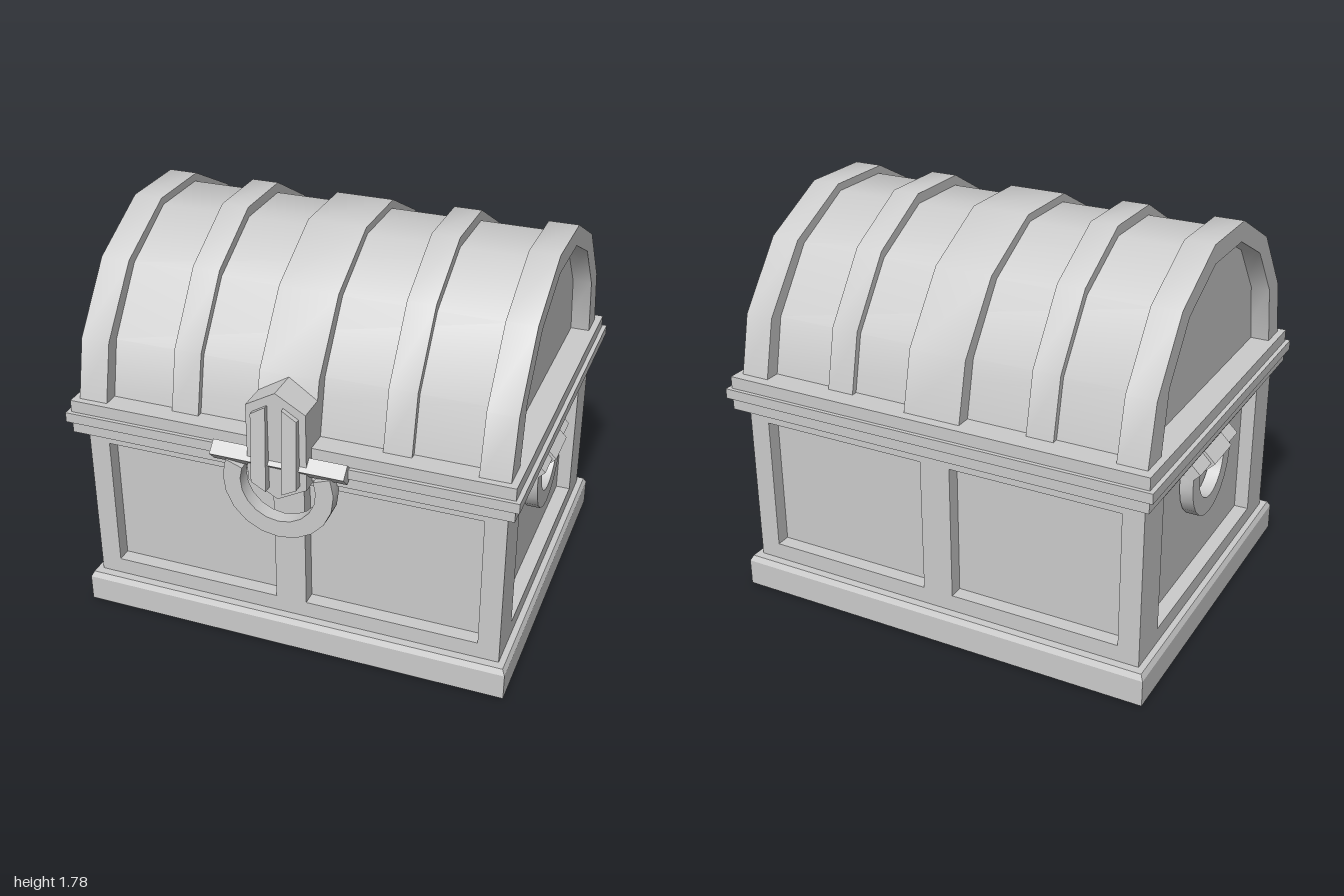
import * as THREE from 'three';
import { toCreasedNormals } from 'three/addons/utils/BufferGeometryUtils.js';

const material = new THREE.MeshStandardMaterial({ color: 0xcccccc });
const ZC = -0.04; // depth centre of the box
const LID_Y = 1.055;

function add(parent, name, geometry, x = 0, y = 0, z = 0) {
  const mesh = new THREE.Mesh(geometry, material);
  mesh.name = name;
  mesh.position.set(x, y, z);
  parent.add(mesh);
  return mesh;
}

const toShape = (pts) => new THREE.Shape(pts.map(([x, y]) => new THREE.Vector2(x, y)));

const rect = (x0, x1, y0, y1) => [[x0, y0], [x1, y0], [x1, y1], [x0, y1]];

// Extrudes an outline (with holes) along z, centred on z = 0
function slab(outline, depth, holes = []) {
  const shape = toShape(outline);
  shape.holes = holes.map(toShape);
  const g = new THREE.ExtrudeGeometry(shape, { depth, bevelEnabled: false });
  return g.translate(0, 0, -depth / 2);
}

// Moves every vertex with a rule
function reshape(geometry, rule) {
  const p = geometry.attributes.position;
  const v = new THREE.Vector3();
  for (let i = 0; i < p.count; i++) {
    rule(v.fromBufferAttribute(p, i));
    p.setXYZ(i, v.x, v.y, v.z);
  }
  geometry.computeVertexNormals();
  return geometry;
}

// Full symmetric arch outline from its right half, scaled from the lid foot
function arch(half, sz = 1, sy = 1) {
  const right = half.map(([z, y]) => [z * sz, LID_Y + (y - LID_Y) * sy]);
  const left = right.map(([z, y]) => [-z, y]).reverse();
  return [...right, ...left];
}

const acrossX = (g) => toCreasedNormals(g.rotateY(Math.PI / 2), 0.6);

// Flat hanging ring, open at the top
function ringOutline(outer, inner, rise) {
  const n = 12, pts = [];
  const arc = (r, i) => {
    const a = rise - (Math.PI + 2 * rise) * (i / n);
    return [Math.cos(a) * r, Math.sin(a) * r];
  };
  for (let i = 0; i <= n; i++) pts.push(arc(outer, i));
  for (let i = n; i >= 0; i--) pts.push(arc(inner, i));
  return pts;
}

// Diamond-section bar along x
const diamondBar = (r, length) =>
  new THREE.CylinderGeometry(r, r, length, 4).toNonIndexed().rotateZ(Math.PI / 2);

function flatBar(r, length) {
  const g = diamondBar(r, length);
  g.computeVertexNormals();
  return g;
}

function buildBase(parent) {
  const base = new THREE.Group();
  base.name = 'base';
  parent.add(base);
  const skirt = slab(rect(-0.98, 0.98, -0.8, 0.8), 0.12, [rect(-0.97, 0.97, -0.79, 0.79)]);
  add(base, 'baseSkirt', skirt.rotateX(-Math.PI / 2), 0, 0.06, ZC);
  const cap = reshape(new THREE.BoxGeometry(1.96, 0.025, 1.6), (v) => {
    if (v.y > 0) { v.x *= 0.987; v.z *= 0.984; }
  });
  add(base, 'baseChamfer', cap, 0, 0.1325, ZC);
}

function buildBody(parent) {
  const body = new THREE.Group();
  body.name = 'body';
  parent.add(body);
  const d = 0.065;
  add(body, 'bodyCore', new THREE.BoxGeometry(1.88 - 2 * d, 0.77, 1.5 - 2 * d), 0, 0.525, ZC);
  // Raised frames around the sunken panels
  for (const s of [-1, 1]) {
    const long = slab(rect(-0.94, 0.94, 0.14, 0.91), d,
      [rect(-0.845, -0.07, 0.22, 0.835), rect(0.07, 0.845, 0.22, 0.835)]);
    add(body, s > 0 ? 'frontFrame' : 'backFrame', long, 0, 0, ZC + s * (0.75 - d / 2));
    const short = slab(rect(-0.75 + d, 0.75 - d, 0.14, 0.91), d, [rect(-0.557, 0.557, 0.215, 0.835)]);
    add(body, s > 0 ? 'leftFrame' : 'rightFrame', short.rotateY(Math.PI / 2), s * (0.94 - d / 2), 0, ZC);
  }
  // Stepped rim between box and lid
  add(body, 'rim', new THREE.BoxGeometry(1.96, 0.155, 1.62), 0, 0.9775, ZC);
  add(body, 'rimLip', new THREE.BoxGeometry(2, 0.045, 1.655), 0, 0.9775, ZC);
}

function buildLid(parent) {
  const lid = new THREE.Group();
  lid.name = 'lid';
  lid.position.z = -0.032;
  parent.add(lid);
  const outer = [[0.772, LID_Y], [0.71, 1.315], [0.49, 1.6], [0.17, 1.765]];
  const inner = [[0.64, LID_Y], [0.59, 1.32], [0.41, 1.55], [0.15, 1.68]];
  add(lid, 'lidShell', acrossX(slab(arch(outer, 0.91, 0.952), 1.66)));
  add(lid, 'lidEndPanels', acrossX(slab(arch(inner, 1.01, 1.01), 1.73)));
  add(lid, 'centreBand', acrossX(slab(arch(outer), 0.26)));
  for (const s of [-1, 1]) {
    add(lid, 'middleBand', acrossX(slab(arch(outer, 0.945, 1.015), 0.122)), s * 0.471);
    // End band is an open arch around the recessed end panel
    const hoop = [...arch(outer), ...arch(inner).reverse()];
    add(lid, 'endBand', acrossX(slab(hoop, 0.13)), s * 0.885);
  }
}

function buildLock(parent) {
  const lock = new THREE.Group();
  lock.name = 'lock';
  parent.add(lock);
  const hex = [[0, 0.815], [0.13, 0.885], [0.13, 1.235], [0, 1.31], [-0.13, 1.235], [-0.13, 0.885]];
  // Pointed hasp whose back leans into the lid
  const hasp = reshape(slab(hex, 0.2), (v) => {
    if (v.z > 0) v.z = 0.825;
    else v.z = v.y > 1.1 ? 0.6 : v.y > 0.85 ? 0.72 : 0.76;
  });
  add(lock, 'hasp', hasp);
  // Two slanted ridges on the hasp
  for (const s of [-1, 1]) {
    const pts = [[0.035, 0.865], [0.1, 0.9], [0.1, 1.21], [0.035, 1.25]].map(([x, y]) => [s * x, y]);
    const ridge = reshape(slab(pts, 0.06), (v) => {
      v.z = v.z < 0 ? 0.8 : 0.865 - (v.y - 0.865) * 0.05;
    });
    add(lock, 'haspRidge', ridge);
  }
  add(lock, 'lockBar', flatBar(0.046, 0.59), 0, 0.978, 0.795);
  add(lock, 'lockRing', toCreasedNormals(slab(ringOutline(0.245, 0.167, 0.35), 0.065), 0.6), 0, 0.872, 0.792);
}

function buildHandle(parent, s) {
  const handle = new THREE.Group();
  handle.name = s > 0 ? 'leftHandle' : 'rightHandle';
  handle.position.set(s * 0.925, 0.778, ZC);
  handle.rotation.y = s * Math.PI / 2;
  parent.add(handle);
  add(handle, 'handleBar', flatBar(0.044, 0.45));
  add(handle, 'handleMount', flatBar(0.062, 0.2));
  add(handle, 'handleRing', toCreasedNormals(slab(ringOutline(0.225, 0.145, 0.2), 0.06), 0.6), 0, -0.063, -0.016);
}

export function createModel() {
  const chest = new THREE.Group();
  chest.name = 'chest';
  buildBase(chest);
  buildBody(chest);
  buildLid(chest);
  buildLock(chest);
  for (const s of [-1, 1]) buildHandle(chest, s);
  return chest;
}
